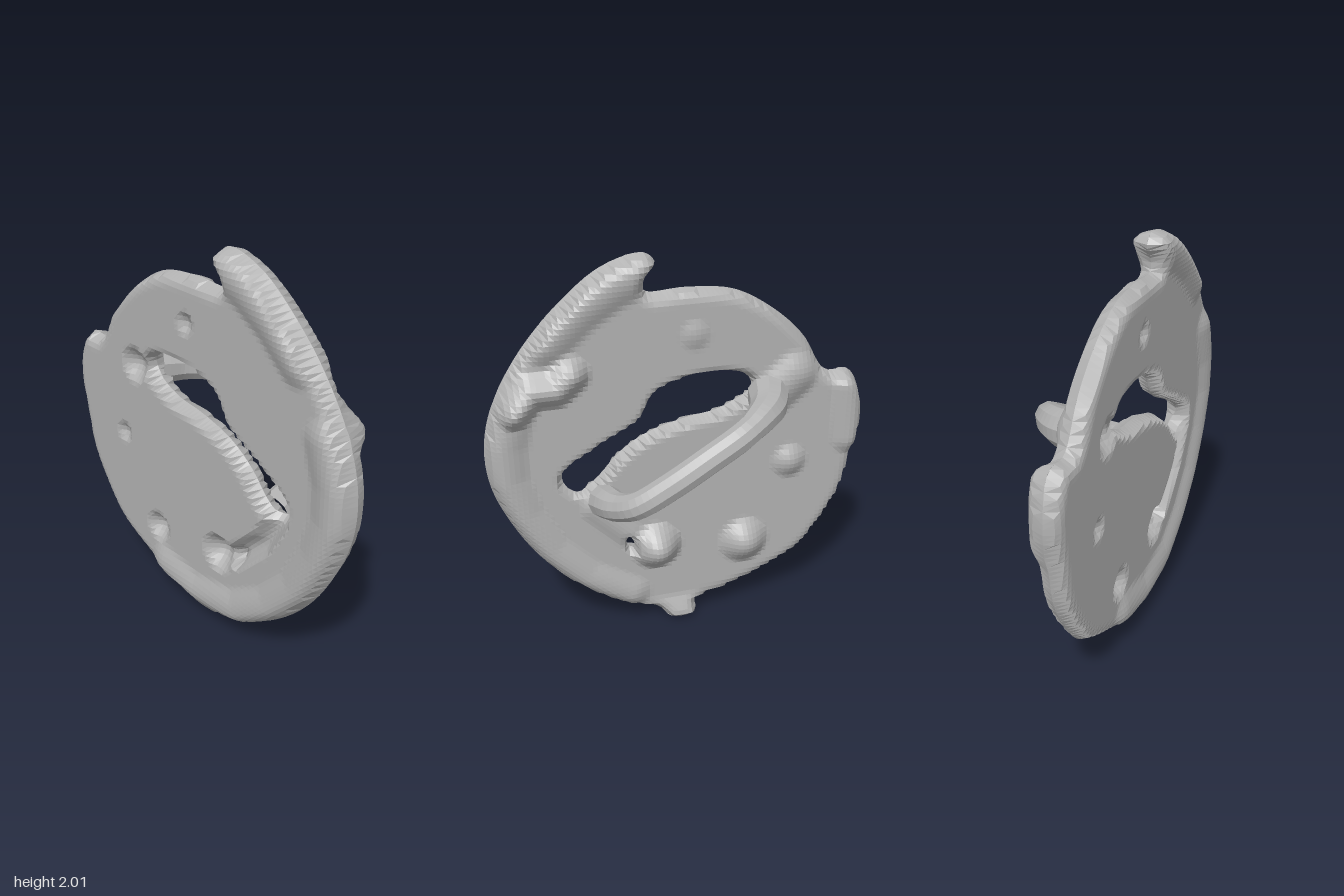
import * as THREE from 'three';

const grey = new THREE.MeshStandardMaterial({ color: 0xb2b2b2, flatShading: true });
grey.name = 'stoneGrey';

// disc edge, slot and pinhole as [z, y] points
const outline = [
  [0.18, 1.82], [-0.02, 1.82], [-0.26, 1.79], [-0.47, 1.67], [-0.63, 1.52], [-0.76, 1.32],
  [-0.88, 1.315], [-0.95, 1.2], [-0.97, 1.05], [-0.93, 0.84], [-0.89, 0.65], [-0.79, 0.47],
  [-0.65, 0.3], [-0.42, 0.18], [-0.23, 0.11], [-0.06, 0.07], [-0.06, 0.01], [0.08, 0.0],
  [0.14, 0.06], [0.33, 0.12], [0.56, 0.27], [0.75, 0.47], [0.89, 0.71], [0.965, 0.92],
  [0.975, 1.13], [0.92, 1.34], [0.78, 1.58], [0.59, 1.79], [0.38, 1.95], [0.18, 2.0],
  [0.125, 1.95], [0.18, 1.87],
];
const slot = [
  [0.61, 0.94], [0.43, 1.06], [0.22, 1.18], [0.14, 1.31], [-0.02, 1.37], [-0.2, 1.38],
  [-0.335, 1.345], [-0.36, 1.28], [-0.2, 1.18], [-0.02, 1.15], [0.19, 1.09],
  [0.33, 1.0], [0.46, 0.865], [0.54, 0.83], [0.61, 0.88],
];
const pinhole = [[0.31, 0.54], [0.27, 0.5], [0.275, 0.46], [0.3, 0.47]];

// closed loops with the width over which the edge rounds off
const loops = [[outline, 140, 0.07], [slot, 70, 0.045], [pinhole, 12, 0.03]].map(([list, count, round]) => {
  const curve = new THREE.CatmullRomCurve3(
    list.map(([z, y]) => new THREE.Vector3(z, y, 0)), true, 'centripetal');
  return { points: curve.getPoints(count), round };
});

// nearest point on a chain of points
const segment = new THREE.Line3();
function nearest(points, p) {
  let best = Infinity;
  const hit = new THREE.Vector3(), test = new THREE.Vector3();
  for (let i = 1; i < points.length; i++) {
    segment.set(points[i - 1], points[i]).closestPointToPoint(p, true, test);
    const d = test.distanceTo(p);
    if (d < best) { best = d; hit.copy(test); }
  }
  return { distance: best, hit };
}

function insideLoop(points, p) {
  let inside = false;
  for (let i = 1; i < points.length; i++) {
    const a = points[i - 1], b = points[i];
    if ((a.y > p.y) !== (b.y > p.y) && p.x < a.x + (b.x - a.x) * (p.y - a.y) / (b.y - a.y)) inside = !inside;
  }
  return inside;
}

const feature = (path, radius, height) =>
  ({ path: path.map(([z, y]) => new THREE.Vector3(z, y, 0)), radius, height });
const dot = (z, y, radius, height) => feature([[z, y], [z, y + 0.001]], radius, height);

const rim = [[-0.25, 0.2], [0, 0.15], [0.3, 0.2], [0.53, 0.34], [0.7, 0.52], [0.82, 0.74], [0.885, 0.95], [0.885, 1.13], [0.83, 1.33]];
const ridge = [[0.66, 1.63], [0.5, 1.77], [0.34, 1.87], [0.19, 1.93]];
const frontRelief = [
  feature(rim.slice(2), 0.11, 0.03),                                    // rim
  feature([[0.83, 1.33], [0.74, 1.41], [0.63, 1.41], [0.56, 1.47]], 0.1, 0.075), // curl
  feature(ridge, 0.115, 0.033),                                         // upper ridge
  feature([[-0.87, 1.24], [-0.89, 0.95]], 0.1, 0.035),                  // wing
  dot(0.16, 0.47, 0.14, 0.11), dot(-0.32, 0.42, 0.14, 0.08),            // knobs
  dot(-0.56, 0.86, 0.1, 0.04), dot(-0.05, 1.6, 0.08, 0.015),            // low knobs
  feature([[-0.42, 1.22], [-0.57, 1.34]], 0.13, 0.045),                 // handle upper foot
  feature([[0.47, 0.74], [0.3, 0.56]], 0.08, 0.02),                     // foot swelling
];
const backRelief = [
  feature(rim, 0.12, -0.03), feature(ridge, 0.115, -0.03),              // rim
  dot(0.17, 0.47, 0.11, 0.08), dot(-0.3, 0.4, 0.09, 0.06),              // hollows
  dot(-0.56, 0.86, 0.06, 0.03), dot(-0.05, 1.6, 0.06, 0.03),
  feature([[0.58, 0.86], [0.46, 0.66], [0.28, 0.5]], 0.07, 0.06),       // groove
  dot(-0.45, 1.27, 0.1, 0.06),
];
// summed smooth swellings at a point
const relief = (list, p) => list.reduce((sum, f) => {
  const t = Math.min(1, nearest(f.path, p).distance / f.radius);
  return sum + f.height * (1 - t * t) ** 1.5;
}, 0);

// disc as a front and a back sheet that meet along every edge
function discGeometry() {
  const step = 0.025, columns = 80, rows = 82;
  const at = (i, j) => new THREE.Vector3(-1 + i * step, -0.02 + j * step, 0);
  const kept = (i, j) => {
    const p = at(i + 0.5, j + 0.5);
    return insideLoop(loops[0].points, p) && !insideLoop(loops[1].points, p) && !insideLoop(loops[2].points, p);
  };
  const cells = [];
  const uses = new Map();
  const key = (i, j) => j * (columns + 1) + i;
  for (let j = 0; j < rows; j++) for (let i = 0; i < columns; i++) {
    if (!kept(i, j)) continue;
    const corners = [[i, j], [i + 1, j], [i + 1, j + 1], [i, j + 1]];
    cells.push(corners.map((c) => key(...c)));
    for (const c of corners) uses.set(key(...c), (uses.get(key(...c)) || 0) + 1);
  }
  const positions = [], slots = new Map();
  for (const [k, count] of uses) {
    let p = at(k % (columns + 1), Math.floor(k / (columns + 1)));
    const near = loops.map((loop) => nearest(loop.points, p));
    let full = 0;
    if (count < 4) p = near.sort((a, b) => a.distance - b.distance)[0].hit;
    else full = Math.min(...near.map((n, i) => {
      const t = Math.min(1, n.distance / loops[i].round);
      return Math.sqrt(1 - (1 - t) ** 2);
    }));
    const front = -0.11 + relief(frontRelief, p), back = -0.242 + relief(backRelief, p);
    const lean = 0.06 * Math.max(0, 1 - p.y / 0.14);
    const mid = (front + back) / 2 + lean, half = Math.max(0.01, (front - back) / 2) * full;
    slots.set(k, positions.length / 3);
    positions.push(mid + half, p.y, p.x, mid - half, p.y, p.x);
  }
  const index = [];
  for (const cell of cells) {
    const [a, b, c, d] = cell.map((k) => slots.get(k));
    index.push(a, d, c, a, c, b, a + 1, c + 1, d + 1, a + 1, b + 1, c + 1);
  }
  const geometry = new THREE.BufferGeometry();
  geometry.setAttribute('position', new THREE.Float32BufferAttribute(positions, 3));
  geometry.setIndex(index);
  geometry.computeVertexNormals();
  return geometry;
}

// slanted carrying handle, flaring where it meets the disc
function handleGeometry() {
  const curve = new THREE.CatmullRomCurve3([
    [-0.11, 1.25, -0.43], [0.01, 1.235, -0.385], [0.1, 1.22, -0.31], [0.17, 1.18, -0.2],
    [0.192, 1.09, -0.03], [0.182, 0.97, 0.16], [0.14, 0.87, 0.31], [0.04, 0.82, 0.385],
    [-0.04, 0.8, 0.41], [-0.11, 0.78, 0.42],
  ].map((p) => new THREE.Vector3(...p)), false, 'centripetal');
  const geometry = new THREE.TubeGeometry(curve, 40, 0.075, 10, false);
  const position = geometry.attributes.position, v = new THREE.Vector3();
  for (let i = 0; i < position.count; i++) {
    const u = geometry.attributes.uv.getX(i), centre = curve.getPointAt(u);
    const flare = 0.92 + 0.5 * Math.max(0, 1 - u / 0.25) + 0.25 * Math.max(0, (u - 0.85) / 0.15);
    v.fromBufferAttribute(position, i).sub(centre).multiplyScalar(flare).add(centre);
    position.setXYZ(i, v.x, v.y, v.z);
  }
  return geometry;
}

export function createModel() {
  const model = new THREE.Group();
  model.name = 'handledDisc';
  for (const [name, geometry] of [['disc', discGeometry()], ['handle', handleGeometry()]]) {
    const mesh = new THREE.Mesh(geometry, grey);
    mesh.name = name;
    model.add(mesh);
  }
  return model;
}
